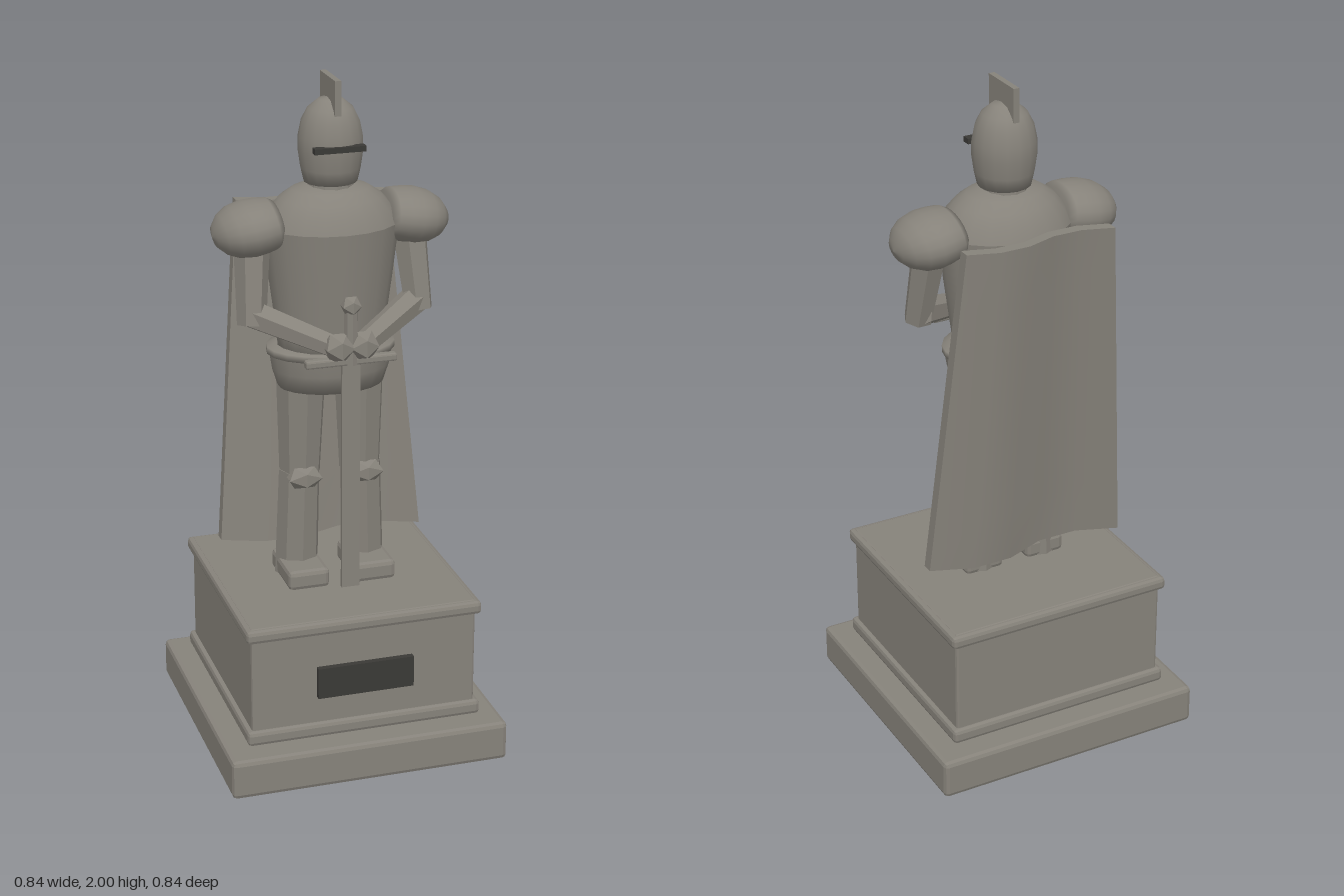
import * as THREE from 'three';
import { RoundedBoxGeometry } from 'three/addons/geometries/RoundedBoxGeometry.js';

const stone = new THREE.MeshStandardMaterial({ color: 0x86827a, side: THREE.DoubleSide });
const facetStone = new THREE.MeshStandardMaterial({ color: 0x86827a, flatShading: true });
const dark = new THREE.MeshStandardMaterial({ color: 0x3a3936, flatShading: true });

export function createModel() {
  const model = new THREE.Group();
  model.name = 'knightStatue';

  const add = (name, geometry, x = 0, y = 0, z = 0, material = facetStone) => {
    const mesh = new THREE.Mesh(geometry, material);
    mesh.name = name;
    mesh.position.set(x, y, z);
    model.add(mesh);
    return mesh;
  };
  const block = (w, h, d, bevel = 0.01) => new RoundedBoxGeometry(w, h, d, 1, bevel);
  const lathe = (points, sides) =>
    new THREE.LatheGeometry(points.map(([r, y]) => new THREE.Vector2(r, y)), sides);

  // Faceted tapered bar between two points
  const limb = (name, from, to, r0, r1, sides = 6) => {
    const a = new THREE.Vector3(...from), b = new THREE.Vector3(...to);
    const dir = b.clone().sub(a);
    const mid = a.clone().add(b).multiplyScalar(0.5);
    const mesh = add(name, new THREE.CylinderGeometry(r1, r0, dir.length(), sides), mid.x, mid.y, mid.z);
    mesh.quaternion.setFromUnitVectors(new THREE.Vector3(0, 1, 0), dir.normalize());
    return mesh;
  };

  // Pedestal
  add('baseSlab', block(0.84, 0.12, 0.84, 0.014), 0, 0.06);
  add('plinth', block(0.68, 0.36, 0.68, 0.008), 0, 0.31);
  add('lowerMoulding', block(0.71, 0.045, 0.71, 0.012), 0, 0.15);
  add('upperMoulding', block(0.71, 0.04, 0.71, 0.012), 0, 0.474);
  add('topStep', block(0.68, 0.02, 0.68, 0.005), 0, 0.486);
  add('plaque', new THREE.BoxGeometry(0.29, 0.095, 0.02), 0, 0.303, 0.348, dark);

  // Torso armour, elliptical in plan
  const oval = (name, points, widen) => {
    add(name, lathe(points, 20), 0, 0, 0, stone).scale.x = widen;
  };
  oval('breastplate', [[0, 1.18], [0.122, 1.18], [0.128, 1.26], [0.145, 1.42], [0.16, 1.58]], 1.25);
  oval('shoulderDome', [[0.16, 1.58], [0.145, 1.62], [0.12, 1.655], [0.09, 1.68], [0.05, 1.693], [0, 1.695]], 1.25);
  oval('belt', [[0.115, 1.195], [0.138, 1.198], [0.138, 1.218], [0.115, 1.222]], 1.38);
  oval('armourSkirt', [[0.134, 1.2], [0.128, 1.15], [0.115, 1.095], [0, 1.095]], 1.37);

  // Helmet
  add('neck', new THREE.CylinderGeometry(0.065, 0.07, 0.05, 12), 0, 1.69);
  add('helmet', lathe([[0, 1.7], [0.077, 1.7], [0.086, 1.74], [0.093, 1.79], [0.092, 1.83],
    [0.083, 1.875], [0.065, 1.91], [0.035, 1.935], [0, 1.942]], 16), 0, 0, 0, stone);
  add('visorSlit', new THREE.BoxGeometry(0.15, 0.016, 0.026), 0, 1.81, 0.087, dark);
  add('crest', new THREE.BoxGeometry(0.018, 0.1, 0.144), 0, 1.95, 0.002);

  for (const [side, s] of [['left', 1], ['right', -1]]) {
    // Legs
    limb(side + 'Thigh', [s * 0.092, 0.82, -0.008], [s * 0.088, 1.13, -0.005], 0.062, 0.075, 8);
    limb(side + 'Shin', [s * 0.103, 0.5, -0.012], [s * 0.094, 0.83, -0.006], 0.066, 0.062, 8);
    add(side + 'Knee', new THREE.IcosahedronGeometry(0.058), s * 0.094, 0.82, 0.05).scale.set(1, 0.65, 0.6);
    add(side + 'Foot', block(0.125, 0.06, 0.2, 0.014), s * 0.102, 0.525, 0.03);

    // Shoulder cap, tilted outwards
    const pauldron = add(side + 'ShoulderGuard', lathe([[0, -0.088], [0.088, -0.088], [0.106, -0.07],
      [0.114, -0.035], [0.117, 0], [0.107, 0.04], [0.082, 0.073], [0.045, 0.096], [0, 0.104]], 20),
      s * 0.245, 1.578, 0, stone);
    pauldron.scale.x = 0.68;
    pauldron.rotation.z = -s * (Math.PI / 2 + 0.16);

    // Arms
    limb(side + 'UpperArm', [s * 0.235, 1.53, 0.01], [s * 0.25, 1.31, 0.055], 0.052, 0.042);
    limb(side + 'Forearm', [s * 0.25, 1.34, 0.04], [s * 0.035, 1.262, 0.185], 0.044, 0.034);
    add(side + 'Hand', new THREE.IcosahedronGeometry(0.048), s * 0.036, 1.268, 0.197);
  }

  // Sword held point down
  const swordZ = 0.197;
  add('pommel', new THREE.IcosahedronGeometry(0.031), 0, 1.388, swordZ);
  add('swordGrip', new THREE.CylinderGeometry(0.02, 0.02, 0.17, 8), 0, 1.3, swordZ);
  add('crossGuard', block(0.27, 0.024, 0.028, 0.006), 0, 1.226, swordZ);
  add('blade', new THREE.BoxGeometry(0.054, 0.7, 0.011), 0, 0.875, swordZ);

  // Cape: wavy slab widening and swinging towards the heels
  const cape = new THREE.BoxGeometry(1, 1, 0.034, 5, 6, 1);
  const p = cape.attributes.position;
  for (let i = 0; i < p.count; i++) {
    const t = p.getX(i) + 0.5, drop = 0.5 - p.getY(i);
    const wave = Math.cos((t - 0.7) * 2.5 * Math.PI) * (0.021 + 0.012 * drop);
    p.setXYZ(i, (t - 0.5) * (0.45 + 0.16 * drop), 1.605 - 1.03 * drop,
      p.getZ(i) - 0.2 + 0.087 * drop - wave);
  }
  cape.computeVertexNormals();
  add('cape', cape, 0, 0, 0, stone);

  return model;
}
